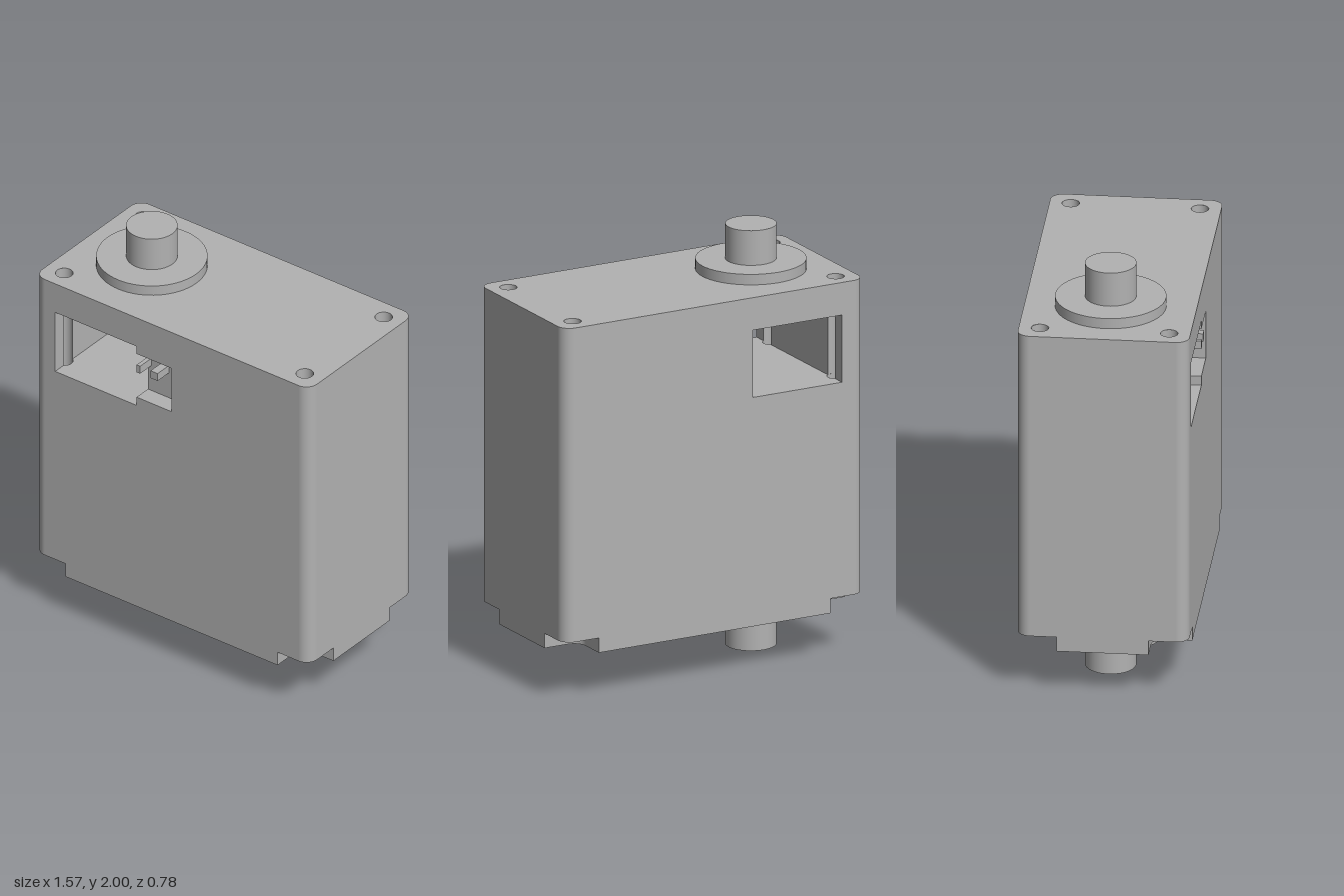
import * as THREE from 'three';

const X = 0.785, Z = 0.392, R = 0.06;          // housing half sizes, corner radius
const BOT = 0.22, PAD = 0.29, TOP = 1.785;     // underside, corner pads, top
const NX = 0.605, NZ = 0.21, NR = 0.06;        // corner notches
const HX = 0.687, HZ = 0.295, HR = 0.04;       // screw holes
const W = { x0: -0.665, x1: -0.2, y0: 1.31, y1: 1.63 };             // window
const P = { x1: 0, y0: 1.355, y1: 1.59, z: 0.307 };                 // pocket beside it
const CUT = HX + W.x0;                         // how far the hole axis lies outside the window
const CHORD = Math.sqrt(HR * HR - CUT * CUT);

const body = new THREE.MeshStandardMaterial({ color: 0xb2b2b2, side: THREE.DoubleSide });
body.name = 'grey metal';

function add(parent, name, geometry) {
  const mesh = new THREE.Mesh(geometry, body);
  mesh.name = name;
  parent.add(mesh);
  return mesh;
}

// Flat face across an axis; shape coordinates are (x,z), (z,y) or (x,y)
function flat(parent, name, shape, axis, at, facing) {
  const g = new THREE.ShapeGeometry(shape, 24);
  if (axis === 'y') g.rotateX(Math.PI / 2).translate(0, at, 0);
  if (axis === 'x') g.rotateY(-Math.PI / 2).translate(at, 0, 0);
  if (axis === 'z') g.translate(0, 0, at);
  if (facing !== (axis === 'z' ? 1 : -1)) {
    g.index.array.reverse();
    g.computeVertexNormals();
  }
  return add(parent, name, g);
}

function poly(...pts) {
  return new THREE.Shape(pts.map(([a, b]) => new THREE.Vector2(a, b)));
}
const rect = (a0, b0, a1, b1) => poly([a0, b0], [a1, b0], [a1, b1], [a0, b1]);

// Upright curved wall; an inward one faces its own axis
function curved(parent, name, x, z, r, y0, y1, start, length, inward) {
  const g = new THREE.CylinderGeometry(r, r, y1 - y0, 32, 1, true, start, length);
  g.translate(x, (y0 + y1) / 2, z);
  if (inward) {
    g.index.array.reverse();
    const n = g.attributes.normal;
    for (let i = 0; i < n.count; i++) n.setXYZ(i, -n.getX(i), -n.getY(i), -n.getZ(i));
  }
  return add(parent, name, g);
}

// Plan of one notch, from the side wall round to the front wall
function notchPath() {
  const pts = [[X, NZ]];
  for (let i = 0; i <= 10; i++) {
    const t = (i / 10) * Math.PI / 2;
    pts.push([NX + NR - NR * Math.sin(t), NZ + NR - NR * Math.cos(t)]);
  }
  pts.push([NX, Z]);
  return pts;
}

// Upright wall outline with both lower corners stepped
const wall = (half, n) => poly([-n, BOT], [n, BOT], [n, PAD], [half, PAD],
  [half, TOP], [-half, TOP], [-half, PAD], [-n, PAD]);

function hole(x, z) {
  return new THREE.Path().absarc(x, z, HR, 0, Math.PI * 2);
}

function corner(parent, sx, sz) {
  const g = new THREE.Group();
  g.name = 'corner';
  g.scale.set(sx, 1, sz);
  parent.add(g);
  const pad = poly(...notchPath());
  pad.lineTo(X - R, Z);
  pad.absarc(X - R, Z - R, R, Math.PI / 2, 0, true);
  pad.holes.push(hole(HX, HZ));
  flat(g, 'cornerPad', pad, 'y', PAD, -1);
  flat(g, 'notchWallX', rect(NZ + NR, BOT, Z, PAD), 'x', NX, 1);
  flat(g, 'notchWallZ', rect(NX + NR, BOT, X, PAD), 'z', NZ, 1);
  curved(g, 'notchFillet', NX + NR, NZ + NR, NR, BOT, PAD, Math.PI, Math.PI / 2, true);
  curved(g, 'roundedEdge', X - R, Z - R, R, PAD, TOP, 0, Math.PI / 2, false);
  const full = Math.PI * 2;
  if (sx > 0) {
    curved(g, 'screwHole', HX, HZ, HR, PAD, TOP, 0, full, true);
  } else {
    // The window breaks into the holes on this side
    const a = Math.asin(CUT / HR);
    curved(g, 'screwHoleLower', HX, HZ, HR, PAD, W.y0, 0, full, true);
    curved(g, 'screwHoleOpen', HX, HZ, HR, W.y0, W.y1, -a, Math.PI + 2 * a, true);
    curved(g, 'screwHoleUpper', HX, HZ, HR, W.y1, TOP, 0, full, true);
  }
}

function housing() {
  const g = new THREE.Group();
  g.name = 'housing';

  // Top with four screw holes
  const top = new THREE.Shape();
  top.absarc(X - R, Z - R, R, 0, Math.PI / 2);
  top.absarc(R - X, Z - R, R, Math.PI / 2, Math.PI);
  top.absarc(R - X, R - Z, R, Math.PI, Math.PI * 1.5);
  top.absarc(X - R, R - Z, R, Math.PI * 1.5, Math.PI * 2);
  for (const sx of [1, -1]) for (const sz of [1, -1]) {
    top.holes.push(hole(sx * HX, sz * HZ));
    corner(g, sx, sz);
  }
  flat(g, 'topFace', top, 'y', TOP, 1);

  // Underside with notched corners
  const q = notchPath(), back = notchPath().reverse();
  flat(g, 'underside', poly(...q, ...back.map(([x, z]) => [-x, z]),
    ...q.map(([x, z]) => [-x, -z]), ...back.map(([x, z]) => [x, -z])), 'y', BOT, -1);

  // Outer walls
  const front = wall(X - R, NX), rear = wall(X - R, NX);
  front.holes.push(poly([W.x0, W.y0], [W.x1, W.y0], [W.x1, P.y0], [P.x1, P.y0],
    [P.x1, P.y1], [W.x1, P.y1], [W.x1, W.y1], [W.x0, W.y1]));
  rear.holes.push(rect(W.x0, W.y0, W.x1, W.y1));
  flat(g, 'frontWall', front, 'z', Z, 1);
  flat(g, 'backWall', rear, 'z', -Z, -1);
  for (const s of [1, -1]) flat(g, s > 0 ? 'leftWall' : 'rightWall', wall(Z - R, NZ), 'x', s * X, s);
  return g;
}

function windowTunnel() {
  const g = new THREE.Group();
  g.name = 'window';
  // Floor and ceiling, bitten by the screw holes
  const b = Math.acos(CUT / HR);
  const floor = poly([W.x0, -Z], [W.x1, -Z], [W.x1, Z], [W.x0, Z]);
  floor.absarc(-HX, HZ, HR, b, -b, true);
  floor.absarc(-HX, -HZ, HR, b, -b, true);
  flat(g, 'windowFloor', floor, 'y', W.y0, 1);
  flat(g, 'windowCeiling', floor, 'y', W.y1, -1);
  const spans = [[-Z, -HZ - CHORD], [-HZ + CHORD, HZ - CHORD], [HZ + CHORD, Z]];
  for (const [z0, z1] of spans) flat(g, 'windowOuterSide', rect(z0, W.y0, z1, W.y1), 'x', W.x0, 1);
  flat(g, 'windowInnerSide', poly([-Z, W.y0], [Z, W.y0], [Z, P.y0], [P.z, P.y0],
    [P.z, P.y1], [Z, P.y1], [Z, W.y1], [-Z, W.y1]), 'x', W.x1, -1);

  // Shallow pocket with two contact pins
  flat(g, 'pocketFloor', rect(W.x1, P.z, P.x1, Z), 'y', P.y0, 1);
  flat(g, 'pocketCeiling', rect(W.x1, P.z, P.x1, Z), 'y', P.y1, -1);
  flat(g, 'pocketEnd', rect(P.z, P.y0, Z, P.y1), 'x', P.x1, -1);
  flat(g, 'pocketBack', rect(W.x1, P.y0, P.x1, P.y1), 'z', P.z, 1);
  for (const [x0, x1] of [[-0.2, -0.18], [-0.12, -0.08]]) {
    add(g, 'contactPin', new THREE.BoxGeometry(x1 - x0, 0.04, Z - P.z))
      .position.set((x0 + x1) / 2, 1.51, (P.z + Z) / 2);
  }
  return g;
}

export function createModel() {
  const model = new THREE.Group();
  model.name = 'gearedActuator';
  model.add(housing(), windowTunnel());

  // Collar and shaft stub above and below
  for (const [name, r, y0, y1] of [
    ['upperCollar', 0.253, TOP, 1.835], ['upperShaft', 0.117, 1.835, 2],
    ['lowerCollar', 0.253, 0.17, BOT], ['lowerShaft', 0.117, 0, 0.17],
  ]) {
    add(model, name, new THREE.CylinderGeometry(r, r, y1 - y0, 64)).position.set(-0.412, (y0 + y1) / 2, 0);
  }
  return model;
}
